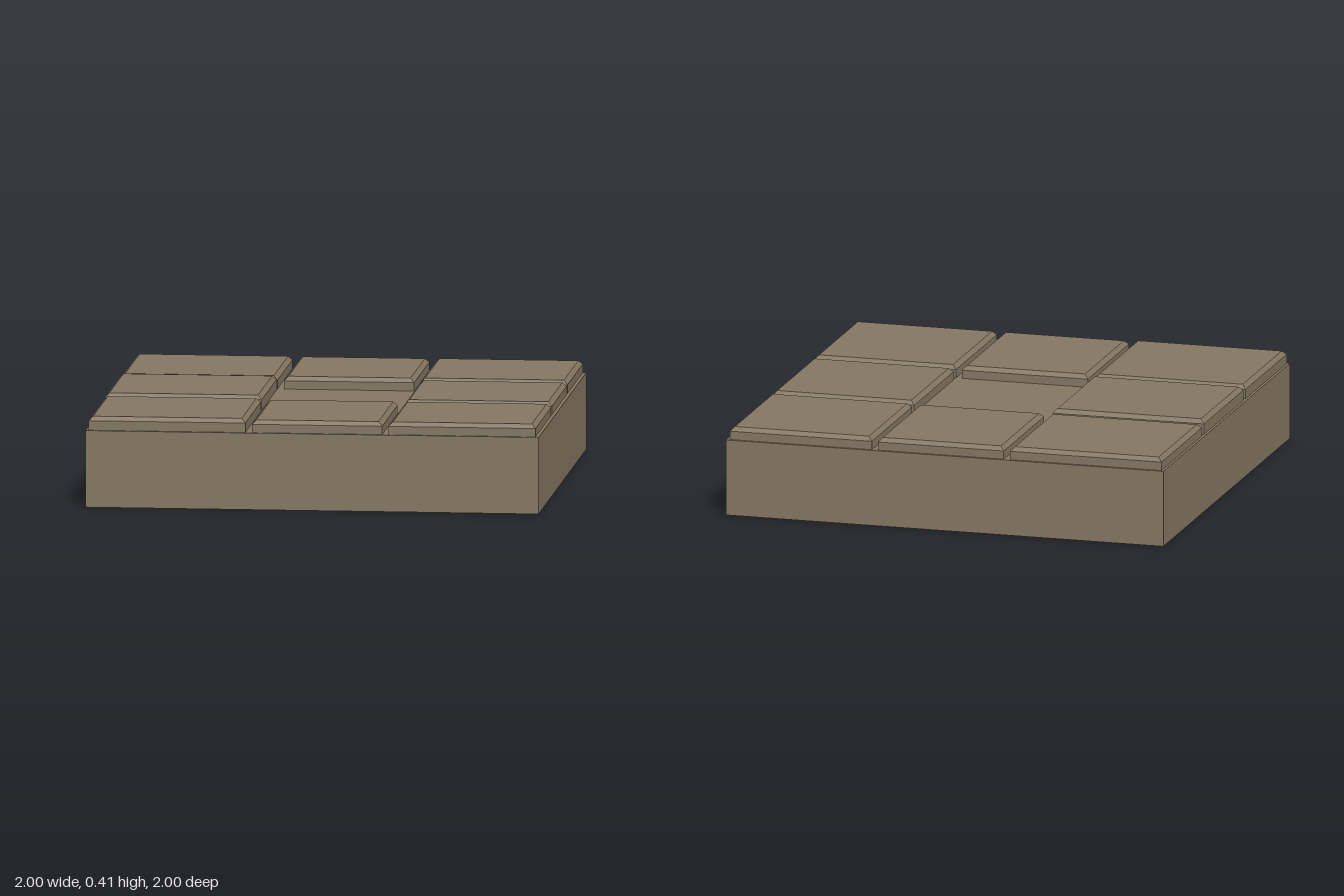
import * as THREE from 'three';

const BASE_TOP = 0.34;
const CHAMFER = 0.018;

// Paving slab with straight sides and a chamfered upper rim
function slabGeometry(w, h, d) {
  const geo = new THREE.BoxGeometry(w, h, d, 1, 2, 1).toNonIndexed();
  const p = geo.attributes.position;
  for (let i = 0; i < p.count; i++) {
    const y = p.getY(i);
    if (y > h * 0.25) {
      p.setX(i, p.getX(i) - Math.sign(p.getX(i)) * CHAMFER);
      p.setZ(i, p.getZ(i) - Math.sign(p.getZ(i)) * CHAMFER);
    } else if (y > -h * 0.25) {
      p.setY(i, h / 2 - CHAMFER);
    }
  }
  geo.computeVertexNormals();
  return geo;
}

export function createModel() {
  const group = new THREE.Group();
  group.name = 'pavedBlock';
  const stone = new THREE.MeshStandardMaterial({ color: 0x847762 });
  stone.name = 'brownStone';

  // Solid base block
  const base = new THREE.Mesh(new THREE.BoxGeometry(2, BASE_TOP, 2), stone);
  base.name = 'base';
  base.position.y = BASE_TOP / 2;
  group.add(base);

  // Ring of eight slabs around an open centre
  const columns = [[-0.988, -0.296], [-0.267, 0.308], [0.336, 0.985]];
  const rows = [[-0.988, -0.352], [-0.32, 0.305], [0.337, 0.987]];
  const tops = [
    [0.396, 0.395, 0.396],
    [0.405, 0, 0.395],
    [0.4, 0.395, 0.395],
  ];
  rows.forEach(([z0, z1], r) => columns.forEach(([x0, x1], c) => {
    if (r === 1 && c === 1) return;
    const h = tops[r][c] - BASE_TOP;
    const slab = new THREE.Mesh(slabGeometry(x1 - x0, h, z1 - z0), stone);
    slab.name = `slabRow${r + 1}Column${c + 1}`;
    slab.position.set((x0 + x1) / 2, BASE_TOP + h / 2, (z0 + z1) / 2);
    group.add(slab);
  }));

  return group;
}
